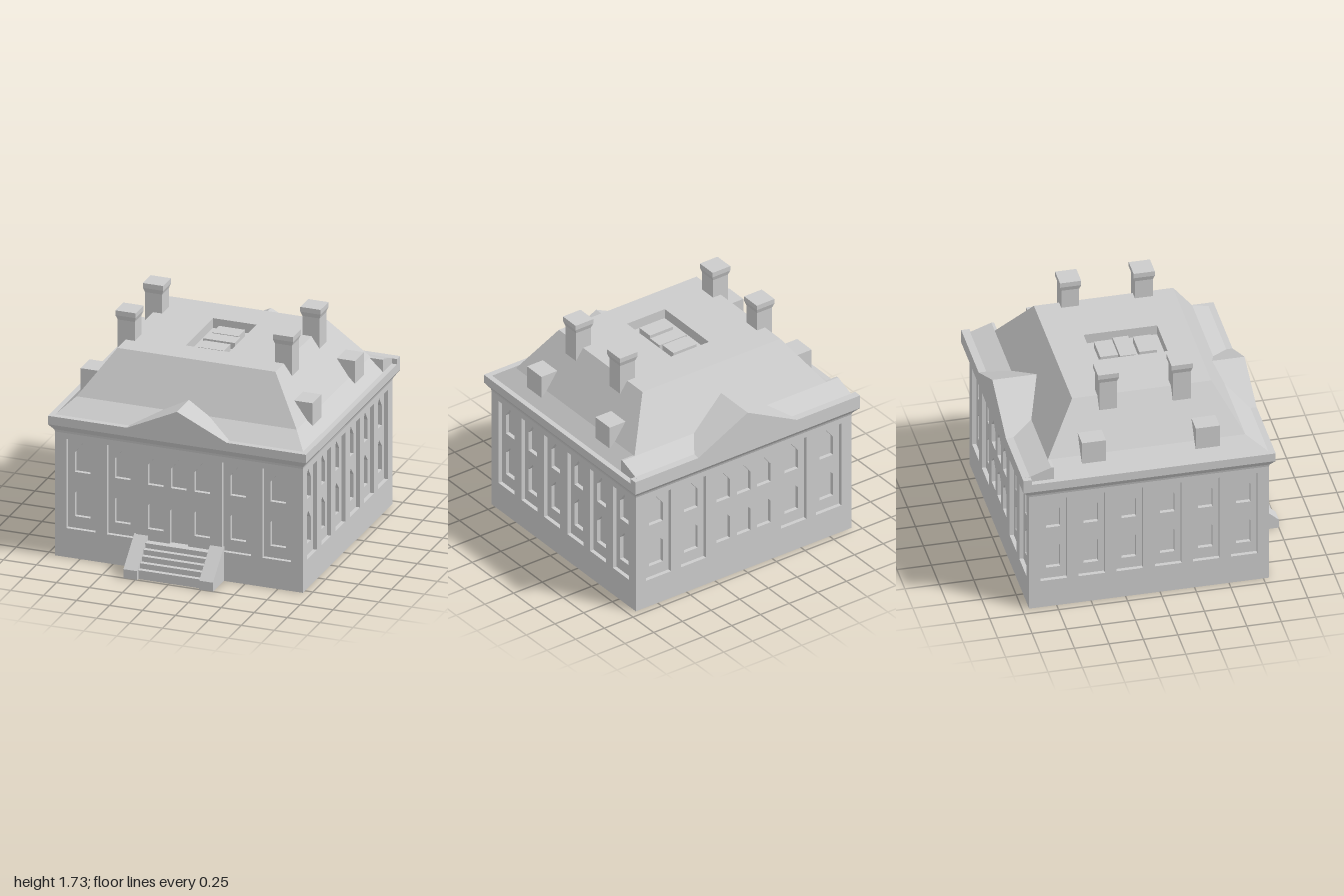
import * as THREE from 'three';

const mat = new THREE.MeshStandardMaterial({ color: 0xcccccc });

function add(parent, name, geo, x = 0, y = 0, z = 0) {
  const m = new THREE.Mesh(geo, mat);
  m.name = name;
  m.position.set(x, y, z);
  parent.add(m);
  return m;
}

// box given by its limits
function block(parent, name, x0, x1, y0, y1, z0, z1) {
  return add(parent, name, new THREE.BoxGeometry(x1 - x0, y1 - y0, z1 - z0),
    (x0 + x1) / 2, (y0 + y1) / 2, (z0 + z1) / 2);
}

// rectangular rings [x0, x1, z0, z1, y], bottom to top, joined by flat faces
function loft(rings, capTop = true) {
  const pos = [];
  const corners = rings.map(([x0, x1, z0, z1, y]) =>
    [[x0, y, z1], [x1, y, z1], [x1, y, z0], [x0, y, z0]]);
  const quad = (a, b, c, d) => pos.push(...a, ...b, ...c, ...a, ...c, ...d);
  for (let r = 0; r < corners.length - 1; r++) {
    const lo = corners[r], hi = corners[r + 1];
    for (let i = 0; i < 4; i++) {
      const j = (i + 1) % 4;
      quad(lo[i], lo[j], hi[j], hi[i]);
    }
  }
  const first = corners[0], last = corners[corners.length - 1];
  quad(first[3], first[2], first[1], first[0]);
  if (capTop) quad(...last);
  const g = new THREE.BufferGeometry();
  g.setAttribute('position', new THREE.Float32BufferAttribute(pos, 3));
  g.computeVertexNormals();
  return g;
}

const poly = (pts) => pts.map(([x, y]) => new THREE.Vector2(x, y));
const rect = (x0, x1, y0, y1) => poly([[x0, y0], [x1, y0], [x1, y1], [x0, y1]]);
const pointed = (x, w, y0, y1, y2) =>
  poly([[x - w, y0], [x + w, y0], [x + w, y1], [x, y2], [x - w, y1]]);

function extrude(outline, holes, depth) {
  const s = new THREE.Shape(outline);
  for (const h of holes) s.holes.push(new THREE.Path(h));
  return new THREE.ExtrudeGeometry(s, { depth, bevelEnabled: false });
}

// prism with a (z, y) profile running from x0 to x1
function sideProfile(pts, x0, x1) {
  return extrude(poly(pts.map(([z, y]) => [-z, y])), [], x1 - x0)
    .rotateY(Math.PI / 2).translate(x0, 0, 0);
}

const D = 0.03, WALL_H = 0.97;

// wall of two layers: panels cut the outer one, panel windows the inner one
function facade(name, half, panels, panelHalf, winHalf, middle, door) {
  const g = new THREE.Group();
  g.name = name;
  const pair = (x) => [pointed(x, winHalf, 0.65, 0.8, 0.875), pointed(x, winHalf, 0.31, 0.49, 0.553)];
  const outer = panels.map((x) => rect(x - panelHalf, x + panelHalf, 0.222, 0.907));
  for (const x of middle) {
    const [upper, lower] = pair(x);
    outer.push(upper, door && x === 0 ? pointed(0, 0.07, 0.222, 0.475, 0.54) : lower);
  }
  const wall = rect(-half, half, 0, WALL_H);
  add(g, 'panelledWall', extrude(wall, outer, D), 0, 0, -D);
  const inset = rect(-half + D, half - D, 0, WALL_H);
  add(g, 'windowWall', extrude(inset, panels.flatMap(pair), D), 0, 0, -2 * D);
  return g;
}

export function createModel() {
  const house = new THREE.Group();
  house.name = 'house';

  // walls
  block(house, 'wallCore', -0.88, 0.88, 0, WALL_H, -0.89, 0.73);
  const wide = [-0.742, -0.437, 0.437, 0.742];
  const narrow = [-0.69, -0.415, -0.14, 0.14, 0.415, 0.69];
  const mid = [-0.177, 0, 0.177];
  const front = facade('frontWall', 0.94, wide, 0.11, 0.059, mid, true);
  front.position.z = 0.79;
  const back = facade('backWall', 0.94, wide, 0.11, 0.059, mid, false);
  back.position.z = -0.95;
  back.rotation.y = Math.PI;
  house.add(front, back);
  for (const s of [1, -1]) {
    const side = facade(s > 0 ? 'leftWall' : 'rightWall', 0.87, narrow, 0.096, 0.052, [], false);
    side.position.set(s * 0.94, 0, -0.08);
    side.rotation.y = s * Math.PI / 2;
    house.add(side);
  }

  // cornice
  add(house, 'cornice', loft([
    [-0.94, 0.94, -0.95, 0.79, 0.95],
    [-0.945, 0.945, -0.957, 0.795, 0.968],
    [-0.98, 0.98, -1, 0.83, 1.015],
    [-0.98, 0.98, -1, 0.83, 1.08],
  ]));

  // hipped roof with a sunken well in its flat top
  add(house, 'roofSlopes', loft([
    [-0.94, 0.94, -0.94, 0.785, 1.08],
    [-0.835, 0.835, -0.79, 0.642, 1.178],
    [-0.6, 0.6, -0.56, 0.45, 1.51],
  ], false));
  add(house, 'roofDeck', extrude(rect(-0.6, 0.6, -0.45, 0.56),
    [rect(-0.167, 0.163, -0.233, 0.3)], 0.08).rotateX(-Math.PI / 2), 0, 1.43, 0);
  block(house, 'wellFloor', -0.2, 0.2, 1.4, 1.435, -0.33, 0.26);
  for (const [w, z0, z1] of [[0.1, -0.24, -0.11], [0.12, -0.1, 0.012], [0.1, 0.043, 0.172]])
    block(house, 'roofVent', -w, w, 1.43, 1.485, z0, z1);

  // rear lower roof with its raised eave
  add(house, 'rearRoof', sideProfile(
    [[-1, 1.07], [-0.77, 1.07], [-0.77, 1.175], [-0.79, 1.178], [-0.945, 1.122], [-1, 1.12]], -0.94, 0.94));
  for (const x of [-0.98, 0.94])
    block(house, 'rearEaveEnd', x, x + 0.04, 1.07, 1.12, -1, -0.94);

  // pediments
  const pediment = (w, y0, y1, z0, z1) =>
    extrude(poly([[-w, y0], [w, y0], [0, y1]]), [], z1 - z0).translate(0, 0, z0);
  add(house, 'frontPediment', pediment(0.38, 1.08, 1.26, 0.56, 0.83));
  add(house, 'rearPediment', pediment(0.43, 1.12, 1.34, -1, -0.66));

  // dormers and chimneys
  for (const s of [1, -1]) {
    for (const z of [0.36, -0.465])
      block(house, 'dormer', s * 0.81 - 0.07, s * 0.81 + 0.07, 1.13, 1.31, z - 0.087, z + 0.087);
    for (const z of [0.222, -0.312]) {
      const ring = (h, y) => [-h, h, -h, h, y];
      add(house, 'chimney', loft([ring(0.065, 1.25), ring(0.065, 1.655), ring(0.077, 1.69),
        ring(0.077, 1.727)]), s * 0.597, 0, z);
    }
  }

  // front steps between sloping cheek walls
  const steps = [[0.79, 0]];
  [0.068, 0.108, 0.147, 0.185, 0.222].forEach((y, i) => {
    const z = 0.978 - i * 0.034;
    steps.push([z, i ? steps[steps.length - 1][1] : 0], [z, y]);
  });
  steps.push([0.79, 0.222]);
  add(house, 'steps', sideProfile(steps.reverse(), -0.237, 0.237));
  for (const x of [-0.34, 0.235])
    add(house, 'stepCheek', sideProfile([[0.78, 0], [0.78, 0.258], [0.79, 0.258], [1, 0.068], [1, 0]], x, x + 0.105));

  return house;
}
